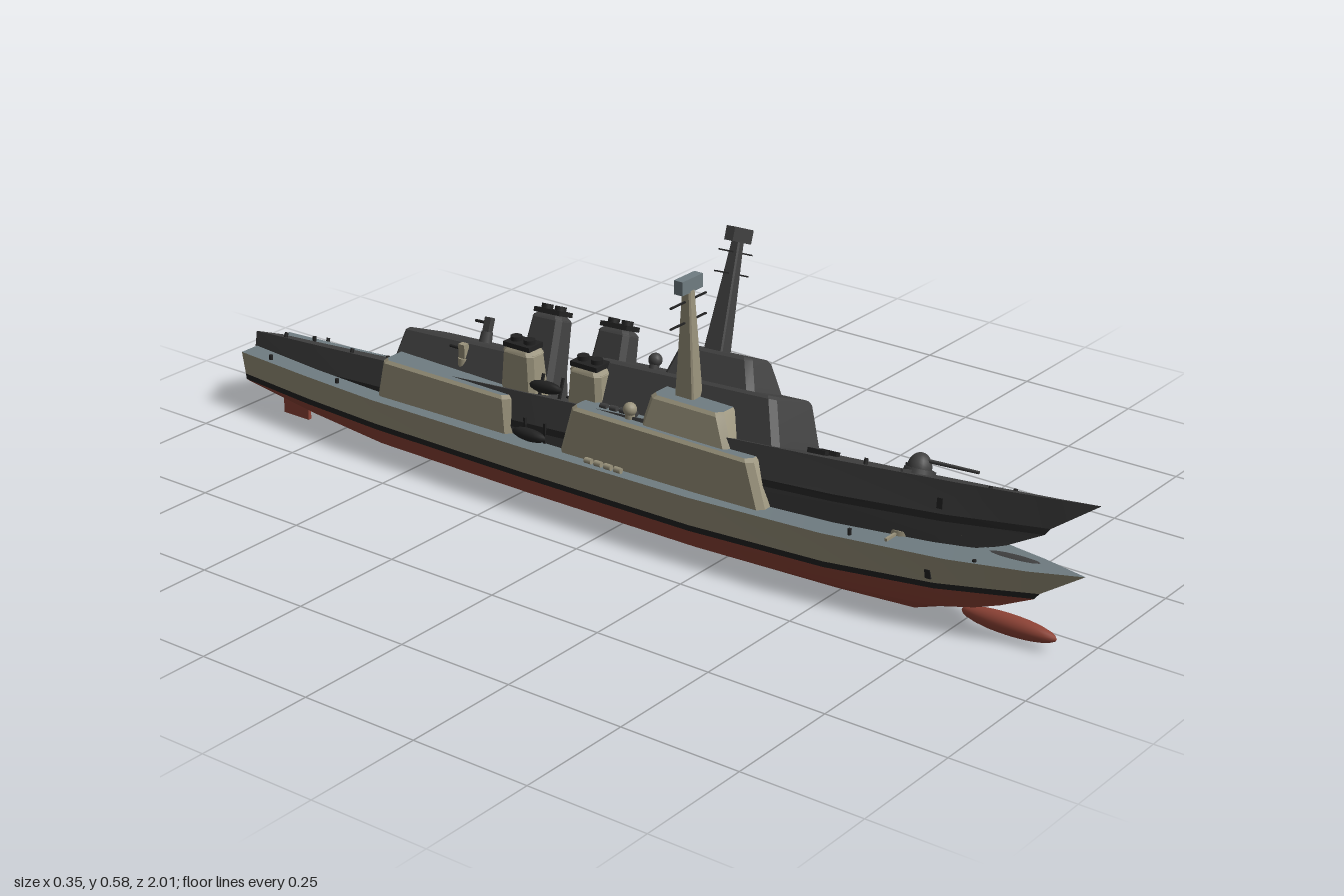
import * as THREE from 'three';
import { toCreasedNormals } from 'three/addons/utils/BufferGeometryUtils.js';

const mat = (name, color) => {
  const m = new THREE.MeshStandardMaterial({ color });
  m.name = name;
  return m;
};

// skin a grid of points: rows are cross-sections, columns run along each section
function loft(rows, crease = 0.5) {
  const pos = [];
  for (let i = 0; i < rows.length - 1; i++) {
    for (let j = 0; j < rows[i].length - 1; j++) {
      const a = rows[i][j], b = rows[i + 1][j], c = rows[i][j + 1], d = rows[i + 1][j + 1];
      pos.push(...a, ...b, ...c, ...b, ...d, ...c);
    }
  }
  const g = new THREE.BufferGeometry();
  g.setAttribute('position', new THREE.Float32BufferAttribute(pos, 3));
  return toCreasedNormals(g, crease);
}

// horizontal rectangle with cut corners
function ring(w, z0, z1, y, c) {
  const p = [[w, z0 + c], [w, z1 - c], [w - c, z1], [c - w, z1],
    [-w, z1 - c], [-w, z0 + c], [c - w, z0], [w - c, z0]];
  return [...p, p[0]].map(([x, z]) => [x, y, z]);
}

// hull stations: z, half widths (deck, waterline, bilge, keel), heights (keel, deck, band)
const STATIONS = [
  [-1, 0.072, 0.062, 0.05, 0.02, 0.045, 0.125, 0.06],
  [-0.8, 0.09, 0.083, 0.068, 0.03, 0.022, 0.126, 0.06],
  [-0.6, 0.105, 0.095, 0.078, 0.036, 0.003, 0.128, 0.06],
  [-0.2, 0.11, 0.098, 0.08, 0.037, 0, 0.132, 0.06],
  [0.2, 0.108, 0.096, 0.078, 0.035, 0, 0.136, 0.061],
  [0.5, 0.096, 0.078, 0.056, 0.022, 0, 0.143, 0.066],
  [0.75, 0.066, 0.046, 0.028, 0.01, 0.004, 0.152, 0.076],
  [0.9, 0.032, 0.018, 0.01, 0.004, 0.02, 0.159, 0.086],
  [1, 0.0005, 0.0005, 0.0005, 0.0003, 0.04, 0.165, 0.092],
];

function hullSection([z, deck, wl, bilge, keel, keelY, deckY, bandY]) {
  const k = Math.max(0, (z - 0.4) / 0.6) ** 2;
  const half = [
    [deck, deckY, 0],
    [wl + (deck - wl) * 0.17, bandY + 0.013, 0.09],
    [wl, bandY, 0.1],
    [bilge, keelY + (bandY - keelY) * 0.35, 0.17],
    [keel, keelY, 0.28],
  ].map(([x, y, rake]) => [x, y, z - rake * k]);
  return [...half, ...half.map(([x, y, pz]) => [-x, y, pz]).reverse()];
}

function buildShip(name, { body, deck, red, black }) {
  const ship = new THREE.Group();
  ship.name = name;
  const add = (part, geo, material, x = 0, y = 0, z = 0) => {
    const m = new THREE.Mesh(geo, material);
    m.name = part;
    m.position.set(x, y, z);
    ship.add(m);
    return m;
  };
  const box = (part, w, h, d, material, x, y, z) =>
    add(part, new THREE.BoxGeometry(w, h, d), material, x, y, z);
  const cyl = (part, r0, r1, h, material, x, y, z, n = 16) =>
    add(part, new THREE.CylinderGeometry(r1, r0, h, n), material, x, y, z);

  // hull, painted in bands from deck edge to keel
  const rows = STATIONS.map(hullSection);
  const slice = (a, b) => rows.map(r => r.slice(a, b + 1));
  add('leftTopside', loft(slice(0, 1)), body);
  add('rightTopside', loft(slice(8, 9)), body);
  add('leftWaterlineBand', loft(slice(1, 2)), black);
  add('rightWaterlineBand', loft(slice(7, 8)), black);
  add('underwaterHull', loft(slice(2, 7)), red);
  add('mainDeck', loft(rows.map(r => [r[9], r[0]])), deck);
  // transom in matching bands
  const stern = rows[0];
  [['transom', 0, body], ['transomBand', 1, black], ['transomBottom', 2, red], ['transomKeel', 3, red]]
    .forEach(([part, i, m]) => add(part, loft([[stern[i + 1], stern[8 - i]], [stern[i], stern[9 - i]]]
      .map(r => r.slice().reverse()).reverse().map(r => r.slice().reverse())), m));

  // bow bulb and twin rudders
  const bulb = add('bowBulb', new THREE.SphereGeometry(0.02, 20, 14), red, 0, 0.026, 0.85);
  bulb.scale.z = 5;
  for (const s of [-1, 1]) box('rudder', 0.008, 0.05, 0.07, red, s * 0.04, 0.026, -0.875);

  // sloped superstructure block: [half width, back z, front z] at bottom and top
  const block = (part, lo, hi, y0, y1, c = 0.012, roofMat = deck) => {
    const [w, a, b] = hi, e = 0.006;
    const edge = ring(w, a, b, y1 - e, c);
    const top = ring(w - e, a + e, b - e, y1, c);
    const mid = top.map(() => [0, y1, (a + b) / 2]);
    add(part, loft([ring(...lo, y0, c), edge, top]), body);
    add(part + 'Roof', loft([top, mid]), roofMat);
  };
  block('forwardHouse', [0.083, -0.135, 0.365], [0.073, -0.11, 0.325], 0.12, 0.23);
  block('bridge', [0.06, 0.05, 0.265], [0.044, 0.062, 0.235], 0.225, 0.29);
  block('hangar', [0.08, -0.615, -0.255], [0.07, -0.605, -0.27], 0.12, 0.205);
  box('hangarDoor', 0.085, 0.058, 0.006, deck, 0, 0.16, -0.613);

  // funnels with dark caps and paired exhausts
  for (const z of [-0.11, -0.28]) {
    block('funnel', [0.033, z - 0.048, z + 0.05], [0.025, z - 0.04, z + 0.036], 0.125, 0.288, 0.01);
    block('funnelShoulder', [0.026, z - 0.041, z + 0.037], [0.024, z - 0.039, z + 0.033], 0.28, 0.291, 0.01, black);
    box('funnelCap', 0.044, 0.01, 0.066, black, 0, 0.295, z - 0.003);
    for (const s of [-1, 1]) cyl('exhaust', 0.012, 0.012, 0.01, black, 0, 0.304, z - 0.003 + s * 0.017);
  }

  // mast, yards and radar
  add('mast', loft([ring(0.017, 0.105, 0.15, 0.285, 0.003), ring(0.009, 0.115, 0.135, 0.505, 0.003)]), body);
  for (const y of [0.44, 0.482]) box('yard', 0.112, 0.003, 0.004, black, 0, y, 0.125);
  box('radar', 0.064, 0.028, 0.02, deck, 0, 0.516, 0.125);
  for (const s of [-1, 1]) {
    cyl('domeBase', 0.01, 0.01, 0.014, body, s * 0.045, 0.234, 0.02);
    add('sensorDome', new THREE.SphereGeometry(0.014, 14, 10), body, s * 0.045, 0.248, 0.02);
  }

  // foredeck gun
  cyl('gunBase', 0.03, 0.028, 0.012, body, 0, 0.151, 0.62, 20);
  const turret = add('gunTurret', new THREE.SphereGeometry(0.024, 16, 8, 0, Math.PI * 2, 0, Math.PI / 2),
    body, 0, 0.156, 0.62);
  turret.scale.y = 1.3;
  const barrel = cyl('gunBarrel', 0.004, 0.003, 0.12, body, 0, 0.174, 0.685, 10);
  barrel.rotation.x = Math.PI / 2;
  box('breakwater', 0.12, 0.008, 0.005, body, 0, 0.149, 0.62);

  // small gun on the hangar roof
  cyl('aftGunBase', 0.014, 0.012, 0.025, body, 0, 0.215, -0.44, 12);
  box('aftGunBody', 0.014, 0.03, 0.016, body, 0, 0.242, -0.44);
  const aftBarrel = cyl('aftGunBarrel', 0.003, 0.003, 0.03, black, 0, 0.245, -0.46, 8);
  aftBarrel.rotation.x = Math.PI / 2;

  for (const s of [-1, 1]) {
    // boats with davits, rafts, deck hatches and anchors
    const boat = add('boat', new THREE.SphereGeometry(0.013, 12, 8), black, s * 0.085, 0.15, -0.2);
    boat.scale.z = 3.2;
    for (const z of [-0.225, -0.175]) box('davit', 0.005, 0.045, 0.005, black, s * 0.067, 0.152, z);
    for (let i = 0; i < 4; i++) {
      const raft = cyl('liferaft', 0.006, 0.006, 0.016, body, s * 0.096, 0.141, 0.03 - i * 0.024, 10);
      raft.rotation.x = Math.PI / 2;
    }
    box('deckHatch', 0.013, 0.012, 0.04, black, s * 0.02, 0.144, 0.41);
    const anchor = box('anchor', 0.007, 0.02, 0.012, black, s * 0.055, 0.108, 0.71);
    anchor.rotation.z = -s * 0.2;
    for (const [x, z] of [[0.05, 0.8], [0.08, 0.55], [0.085, -0.72], [0.072, -0.92]]) {
      cyl('bollard', 0.004, 0.004, 0.012, black, s * x * 0.92, z > 0 ? 0.152 : 0.13, z, 8);
    }
  }
  return ship;
}

export function createModel() {
  const model = new THREE.Group();
  model.name = 'warships';
  const body = mat('beige paint', 0x9a937c);
  const deck = mat('grey deck', 0x707d82);
  const red = mat('red bottom paint', 0x8e4336);
  const black = mat('black', 0x222222);
  const dark = mat('charcoal', 0x404040);

  const upright = buildShip('uprightShip', { body, deck, red, black });
  upright.position.x = -0.062;

  // second, charcoal hull heeled over and lifted at the bow
  const heeled = buildShip('heeledShip', { body: dark, deck: dark, red: dark, black });
  heeled.position.set(-0.062, 0.068, 0);
  heeled.rotation.set(-0.056, 0, -0.393);

  model.add(upright, heeled);
  return model;
}
